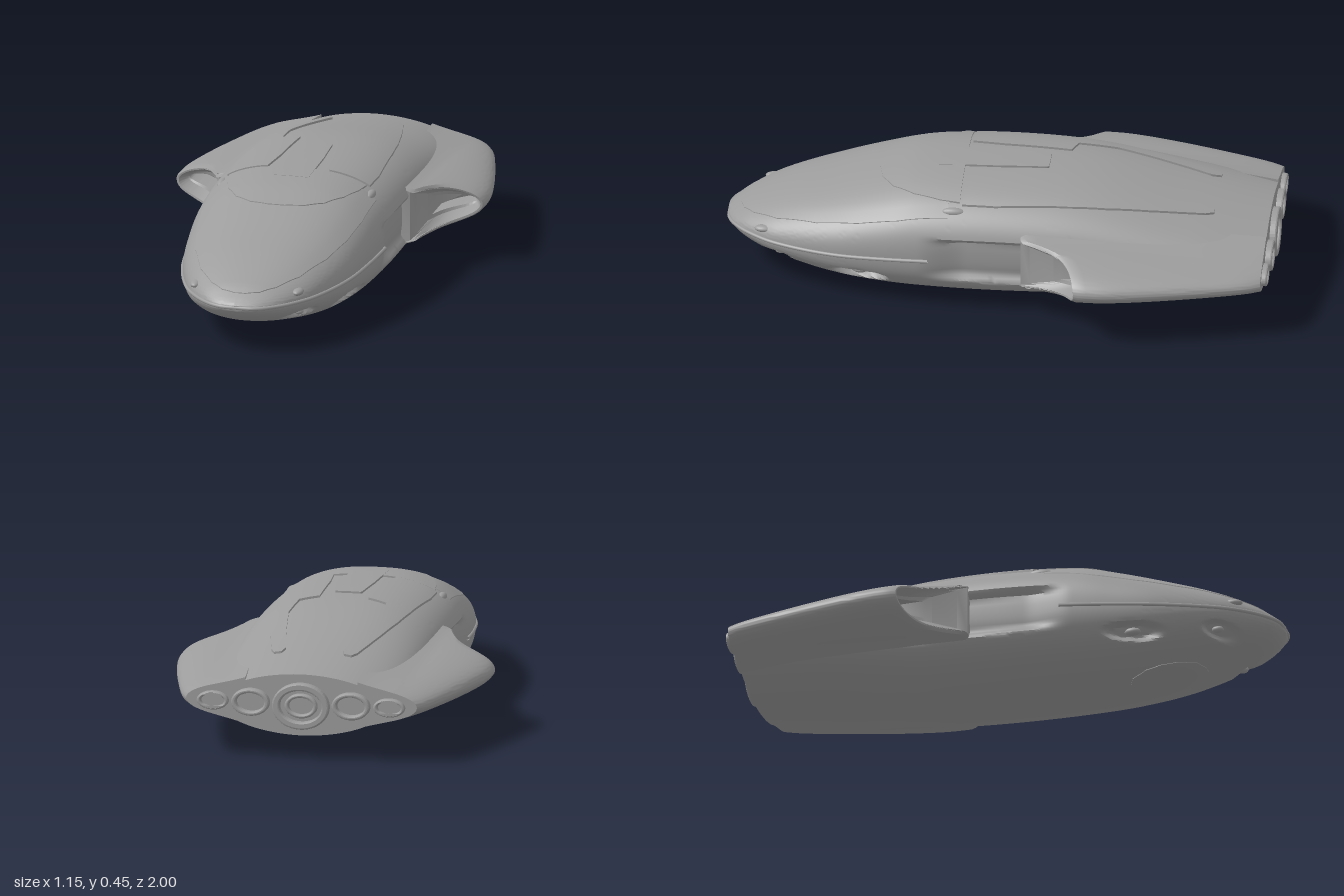
import * as THREE from 'three';
import { toCreasedNormals } from 'three/addons/utils/BufferGeometryUtils.js';

const grey = new THREE.MeshStandardMaterial({ color: 0x9c9c9c, side: THREE.DoubleSide });
grey.name = 'hull grey';

// Smooth lookup in a table of [key, value] pairs with falling keys
function curve(table) {
  const slope = i => {
    const a = table[Math.max(i - 1, 0)], b = table[Math.min(i + 1, table.length - 1)];
    return (b[1] - a[1]) / (b[0] - a[0]);
  };
  return k => {
    if (k >= table[0][0]) return table[0][1];
    for (let i = 0; i < table.length - 1; i++) {
      const [k0, v0] = table[i], [k1, v1] = table[i + 1];
      if (k < k1) continue;
      const d = k1 - k0, t = (k - k0) / d, u = 1 - t;
      return v0 * (1 + 2 * t) * u * u + slope(i) * d * t * u * u
        + v1 * t * t * (3 - 2 * t) - slope(i + 1) * d * t * t * u;
    }
    return table[table.length - 1][1];
  };
}
const smooth = THREE.MathUtils.smoothstep;

// Hull profiles along z
const width = curve([[0.992, 0.012], [0.985, 0.06], [0.96, 0.11], [0.9, 0.172], [0.8, 0.237], [0.6, 0.305],
  [0.4, 0.338], [0.2, 0.355], [0, 0.362], [-0.3, 0.362], [-0.7, 0.35], [-0.975, 0.31]]);
const top = curve([[0.992, 0.182], [0.96, 0.205], [0.9, 0.24], [0.75, 0.3], [0.6, 0.345], [0.43, 0.395], [0.3, 0.426],
  [0.1, 0.438], [-0.2, 0.437], [-0.4, 0.42], [-0.7, 0.365], [-0.975, 0.31]]);
const bottom = curve([[0.992, 0.16], [0.96, 0.13], [0.9, 0.1], [0.8, 0.07], [0.6, 0.027], [0.4, 0.005],
  [0.2, 0], [-0.25, 0.002], [-0.4, 0.018], [-0.6, 0.045], [-0.975, 0.085]]);
const middle = curve([[0.992, 0.172], [0.6, 0.18], [0.2, 0.2], [-0.3, 0.212], [-0.975, 0.2]]);
const power = curve([[0.992, 2], [0.6, 2.3], [0.1, 2.5], [-0.4, 2.3], [-0.975, 1.9]]);

function surfaceY(x, z, up) {
  const n = power(z), m = middle(z), h = up > 0 ? top(z) - m : bottom(z) - m;
  return m + h * Math.pow(Math.max(0, 1 - Math.pow(Math.abs(x) / width(z), n)), 1 / n);
}

// Skin closed rings (counter-clockwise seen from +z, front to back) and cap both ends
function loft(rings, crease = 0.6) {
  const n = rings[0].length, pos = rings.flat(2), idx = [];
  for (let i = 0; i < rings.length - 1; i++) for (let j = 0; j < n; j++) {
    const a = i * n + j, b = i * n + (j + 1) % n;
    idx.push(a, a + n, b, b, a + n, b + n);
  }
  [rings[0], rings[rings.length - 1]].forEach((ring, e) => {
    const c = pos.length / 3, base = e * (rings.length - 1) * n;
    for (let k = 0; k < 3; k++) pos.push(ring.reduce((s, p) => s + p[k], 0) / n);
    for (let j = 0; j < n; j++) {
      const a = base + j, b = base + (j + 1) % n;
      idx.push(c, e ? b : a, e ? a : b);
    }
  });
  const g = new THREE.BufferGeometry();
  g.setAttribute('position', new THREE.Float32BufferAttribute(pos, 3));
  g.setIndex(idx);
  return toCreasedNormals(g, crease);
}

// Lamp recesses: y, z, half height, half length
const recesses = [[0.108, 0.8, 0.026, 0.065], [0.095, 0.5, 0.03, 0.12]];

function hullGeometry() {
  const rings = [], rows = 150, n = 128;
  for (let i = 0; i <= rows; i++) {
    const z0 = 0.992 - 1.967 * Math.pow(i / rows, 1.3), ring = [];
    for (let j = 0; j < n; j++) {
      const a = (j / n) * Math.PI * 2, c = Math.cos(a), s = Math.sin(a), e = 2 / power(z0), m = middle(z0);
      let x = width(z0) * Math.sign(c) * Math.pow(Math.abs(c), e);
      let y = m + (s > 0 ? top(z0) - m : m - bottom(z0)) * Math.sign(s) * Math.pow(Math.abs(s), e);
      let z = z0;
      // side scoops leading to the intakes
      x *= 1 - 0.1 * smooth(z, -0.42, -0.3) * (1 - smooth(z, 0.1, 0.28))
        * smooth(y, 0.11, 0.15) * (1 - smooth(y, 0.265, 0.29));
      for (const [ry, rz, h, l] of recesses) {
        const k = 1 - smooth(Math.hypot((y - ry) / h, (z - rz) / l), 0.55, 1.05);
        x *= 1 - 0.12 * k;
        y += 0.012 * k;
        z -= 0.015 * k;
      }
      ring.push([x, y, z]);
    }
    rings.push(ring);
  }
  return loft(rings, 0.7);
}

// Wing pod: solid shell with a stepped intake in its swept front
const sweep = curve([[0.575, -0.315], [0.49, -0.285], [0.43, -0.24], [0.39, -0.17], [0.365, -0.1]]);
const wingTip = curve([[-0.3, 0.575], [-0.42, 0.573], [-0.6, 0.54], [-0.8, 0.49], [-0.93, 0.45], [-0.975, 0.425]]);
function wingGeometry(side) {
  const n = 56;
  const ring = (x0, x1, scale, mid, zAt) => {
    const pts = [];
    for (let j = 0; j < n; j++) {
      const a = -Math.PI / 2 + (j + 0.5) / n * Math.PI, u = Math.cos(a);
      const h = (0.09 * Math.sqrt(1 - u * u) + 0.035 * Math.pow(1 - u, 3)) * scale;
      const x = x0 + (x1 - x0) * u;
      pts.push([x * side, mid + Math.sign(a) * h, zAt(x)]);
    }
    return side > 0 ? pts : pts.reverse();
  };
  const front = d => x => sweep(x) - d;
  const rings = [
    ring(0.4, 0.53, 0.22, 0.217, front(0.16)),
    ring(0.395, 0.535, 0.28, 0.217, front(0.06)),
    ring(0.385, 0.54, 0.42, 0.217, front(0.055)),
    ring(0.365, 0.555, 0.62, 0.217, front(0.02)),
    ring(0.35, 0.562, 0.74, 0.216, front(0.001)),
    ring(0.3, 0.57, 0.9, 0.215, front(0)),
    ring(0.28, 0.575, 1, 0.215, front(0.015)),
  ];
  for (let i = 1; i <= 20; i++) {
    const t = i / 20, z = -0.33 - 0.645 * t;
    rings.push(ring(0.28 - 0.08 * t, wingTip(z), 1 - 0.3 * t * t, 0.215 - 0.01 * t,
      x => THREE.MathUtils.lerp(sweep(x) - 0.015, -0.975, t)));
  }
  return loft(rings, 0.6);
}

// Thin panel laid over the hull; rows are [z, x from, x to], front to back
function panelGeometry(rows, lift, up = 1) {
  const fine = [], pos = [], idx = [], cols = 16;
  rows.slice(1).forEach((r, i) => {
    for (let s = 0; s < 6; s++) fine.push(r.map((v, k) => rows[i][k] + (v - rows[i][k]) * s / 6));
  });
  fine.push(rows[rows.length - 1]);
  const all = [fine[0], ...fine, fine[fine.length - 1]];
  all.forEach(([z, x0, x1], i) => {
    for (let j = -1; j <= cols + 1; j++) {
      const edge = i === 0 || i === all.length - 1 || j < 0 || j > cols;
      const x = x0 + (x1 - x0) * THREE.MathUtils.clamp(j / cols, 0, 1);
      pos.push(x, surfaceY(x, z, up) + up * (edge ? -0.006 : lift), z);
    }
  });
  const n = cols + 3;
  for (let i = 0; i < all.length - 1; i++) for (let j = 0; j < n - 1; j++) {
    const a = i * n + j, b = a + 1, c = a + n, d = c + 1;
    if (up > 0) idx.push(a, b, c, b, d, c);
    else idx.push(a, c, b, b, c, d);
  }
  const g = new THREE.BufferGeometry();
  g.setAttribute('position', new THREE.Float32BufferAttribute(pos, 3));
  g.setIndex(idx);
  return toCreasedNormals(g, 0.6);
}

// Oval exhaust ring with a recessed inner ring
function nozzleGeometry(rx, ry, depth) {
  const s = new THREE.Shape().absellipse(0, 0, rx, ry, 0, Math.PI * 2);
  s.holes.push(new THREE.Path().absellipse(0, 0, rx * 0.74, ry * 0.68, 0, Math.PI * 2));
  return new THREE.ExtrudeGeometry(s, { depth: depth - 0.012, curveSegments: 24,
    bevelThickness: 0.006, bevelSize: 0.006, bevelOffset: -0.006, bevelSegments: 2 });
}

export function createModel() {
  const model = new THREE.Group();
  const add = (name, geometry, x = 0, y = 0, z = 0) => {
    const mesh = new THREE.Mesh(geometry, grey);
    mesh.name = name;
    mesh.position.set(x, y, z);
    model.add(mesh);
    return mesh;
  };
  add('hull', hullGeometry());

  // nose canopy, roof hatch and belly hatch
  const wide = rows => rows.map(([z, x]) => [z, -x, x]);
  add('canopy', panelGeometry(wide([[0.945, 0.02], [0.93, 0.07], [0.89, 0.12], [0.8, 0.185], [0.65, 0.245],
    [0.5, 0.28], [0.35, 0.298], [0.17, 0.302]]), 0.003));
  add('roofFairing', panelGeometry(wide([[0.44, 0.03], [0.425, 0.1], [0.38, 0.165], [0.3, 0.215], [0.2, 0.245],
    [0.13, 0.255]]), 0.006));
  add('roofHatch', panelGeometry(wide([[0.225, 0.065], [0, 0.062], [-0.165, 0.05], [-0.172, 0.045]]), 0.007));
  add('bellyHatch', panelGeometry(wide([[0.7, 0.02], [0.68, 0.07], [0.62, 0.11], [0.56, 0.12], [0.5, 0.11],
    [0.44, 0.07], [0.42, 0.02]]), 0.002, -1));

  // belt line around the nose
  const belt = [];
  for (let i = -24; i <= 24; i++) {
    const t = Math.abs(i) / 24, z = 0.988 - 0.75 * t * t;
    belt.push(new THREE.Vector3(Math.sign(i) * (i ? width(z) : 0), middle(z), z));
  }
  add('noseBelt', new THREE.TubeGeometry(new THREE.CatmullRomCurve3(belt), 120, 0.007, 8));

  for (const side of [1, -1]) {
    add('wing', wingGeometry(side));
    // long roof strake
    const strake = [[0.12, 0.115, 0.265], [0, 0.1, 0.268], [-0.24, 0.09, 0.25], [-0.26, 0.16, 0.249],
      [-0.4, 0.17, 0.233], [-0.55, 0.145, 0.205], [-0.66, 0.125, 0.18], [-0.75, 0.105, 0.158], [-0.78, 0.115, 0.142]];
    add('roofStrake', panelGeometry(strake.map(([z, a, b]) => side > 0 ? [z, a, b] : [z, -b, -a]), 0.008));

    // lamps in the recesses, nose sensors and roof sensors
    const blob = (name, x, y, z, sx, sy, sz) =>
      add(name, new THREE.SphereGeometry(1, 20, 12), x * side, y, z).scale.set(sx, sy, sz);
    blob('frontLamp', 0.178, 0.115, 0.785, 0.016, 0.012, 0.022);
    blob('sideLamp', 0.262, 0.103, 0.49, 0.018, 0.014, 0.03);
    blob('noseSensor', 0.19, 0.207, 0.845, 0.02, 0.013, 0.035);
    blob('roofSensor', 0.276, 0.366, 0.15, 0.017, 0.017, 0.045);

    // outer exhausts
    for (const [x, rx, ry, d] of [[0.185, 0.07, 0.05, 0.03], [0.325, 0.058, 0.034, 0.025]])
      add('exhaust', nozzleGeometry(rx, ry, d), x * side, 0.203, -0.964 - d);
  }
  // main exhaust
  add('mainExhaust', nozzleGeometry(0.105, 0.085, 0.035), 0, 0.195, -0.994);
  add('mainExhaustCore', nozzleGeometry(0.06, 0.045, 0.025), 0, 0.195, -0.985);
  return model;
}
